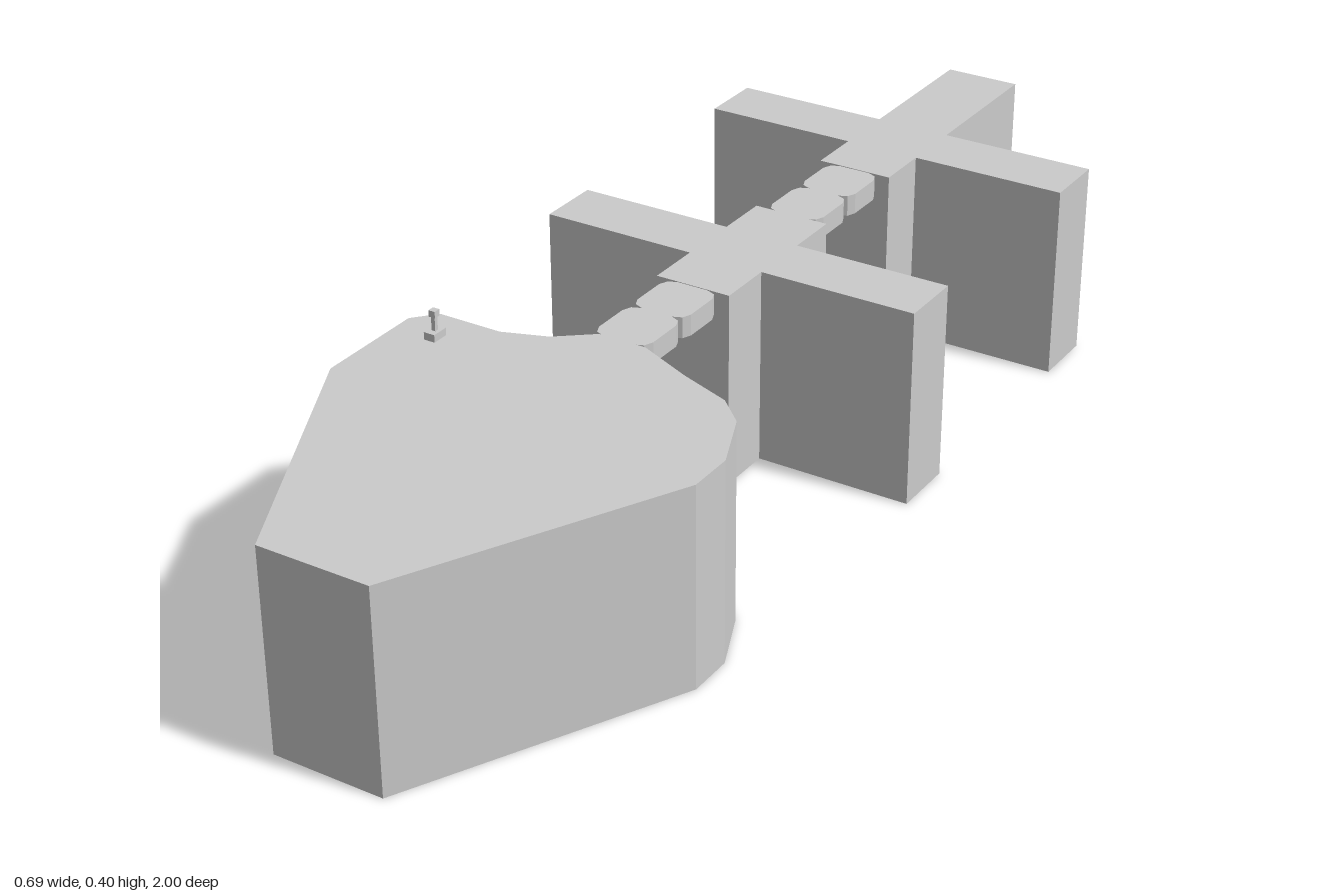
import * as THREE from 'three';
import { mergeGeometries } from 'three/addons/utils/BufferGeometryUtils.js';

const HEIGHT = 0.348;
const material = new THREE.MeshStandardMaterial({ color: 0xcccccc, flatShading: true, side: THREE.DoubleSide });

// Thin shell open underneath: a flat roof over [x, z] corners plus walls.
// Corners run anticlockwise seen from above; openEdge leaves out one wall.
function shell(name, corners, bottom, top, openEdge = -1) {
  const shape = new THREE.Shape(corners.map(([x, z]) => new THREE.Vector2(x, -z)));
  const roof = new THREE.ShapeGeometry(shape).rotateX(-Math.PI / 2).translate(0, top, 0).toNonIndexed();
  roof.deleteAttribute('uv');
  const positions = [];
  corners.forEach(([px, pz], i) => {
    if (i === openEdge) return;
    const [qx, qz] = corners[(i + 1) % corners.length];
    positions.push(px, bottom, pz, qx, bottom, qz, qx, top, qz);
    positions.push(px, bottom, pz, qx, top, qz, px, top, pz);
  });
  const walls = new THREE.BufferGeometry();
  walls.setAttribute('position', new THREE.Float32BufferAttribute(positions, 3));
  walls.computeVertexNormals();
  const mesh = new THREE.Mesh(mergeGeometries([roof, walls]), material);
  mesh.name = name;
  return mesh;
}

// Cross-shaped body section: a spine with two side arms
function crossSection(name, back, armBack, armFront, front, openBack) {
  const s = 0.068, a = 0.347;
  const corners = [
    [-s, front], [s, front], [s, armFront], [a, armFront], [a, armBack], [s, armBack],
    [s, back], [-s, back], [-s, armBack], [-a, armBack], [-a, armFront], [-s, armFront],
  ];
  return shell(name, corners, 0, HEIGHT, openBack ? 6 : -1);
}

// Small chain link with rounded corners
function link(index, back, front) {
  const w = 0.05, r = 0.022, corners = [];
  const centres = [[-w + r, front - r], [w - r, front - r], [w - r, back + r], [-w + r, back + r]];
  centres.forEach(([x, z], k) => {
    for (let i = 0; i <= 2; i++) {
      const t = Math.PI + (k + i / 2) * Math.PI / 2;
      corners.push([x + r * Math.cos(t), z - r * Math.sin(t)]);
    }
  });
  return shell('link' + index, corners, 0.31, HEIGHT - 0.001);
}

export function createModel() {
  const model = new THREE.Group();

  // Wide head tapering to a blunt nose
  model.add(shell('head', [
    [-0.09, 1], [0.104, 1], [0.333, 0.55], [0.333, 0.47], [0.288, 0.365], [0.24, 0.32], [0.15, 0.287],
    [0.05, 0.242], [-0.035, 0.242], [-0.095, 0.29], [-0.17, 0.317], [-0.285, 0.317], [-0.318, 0.355], [-0.318, 0.55],
  ], 0, HEIGHT));

  // Body sections, the last one open at its rear end
  model.add(crossSection('middleSection', -0.288, -0.19, -0.075, 0.025, false));
  model.add(crossSection('rearSection', -1, -0.722, -0.606, -0.507, true));

  // Pairs of links joining the sections
  [[0.132, 0.242], [0.025, 0.132], [-0.398, -0.288], [-0.507, -0.398]]
    .forEach(([back, front], i) => model.add(link(i + 1, back, front)));

  // Little post on the head: foot, stem and cap
  const post = new THREE.Group();
  post.name = 'post';
  [['foot', 0.02, 0.013, 0.03, HEIGHT], ['stem', 0.007, 0.026, 0.007, 0.36], ['cap', 0.012, 0.011, 0.012, 0.385]]
    .forEach(([name, w, h, d, y]) => {
      const part = new THREE.Mesh(new THREE.BoxGeometry(w, h, d), material);
      part.name = name;
      part.position.y = y + h / 2;
      post.add(part);
    });
  post.position.set(-0.244, 0, 0.385);
  model.add(post);

  return model;
}
